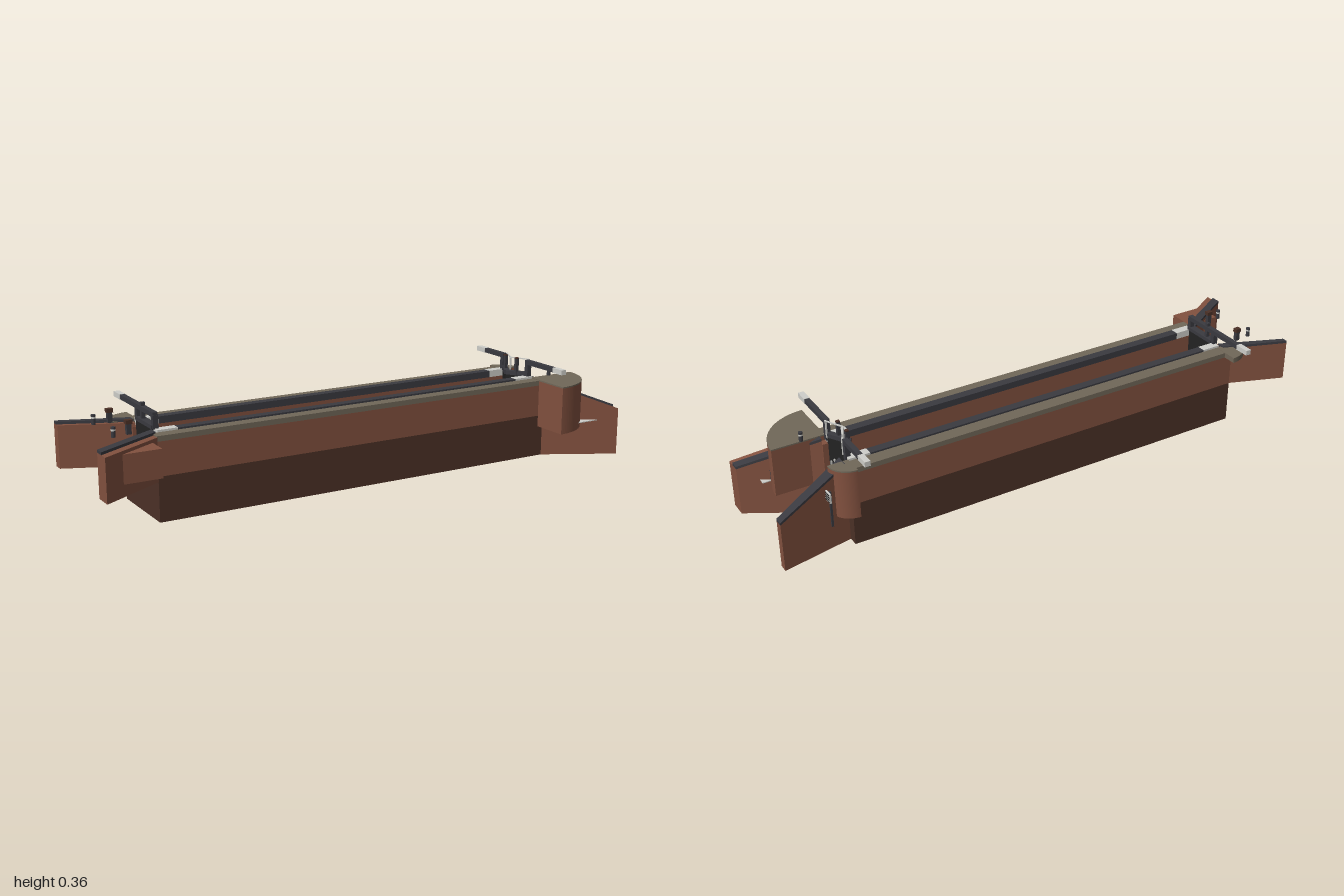
import * as THREE from 'three';

const mat = (name, color) => Object.assign(new THREE.MeshStandardMaterial({ color }), { name });

export function createModel() {
  const brick = mat('brick', 0x82513f);
  const footing = mat('dark brick footing', 0x4c3127);
  const stone = mat('coping stone', 0x716859);
  const iron = mat('dark iron', 0x3a3a40);
  const black = mat('black timber', 0x232323);
  const white = mat('white paint', 0xcfcfca);

  const root = new THREE.Group();
  const add = (name, geometry, material, parent = root) => {
    const mesh = new THREE.Mesh(geometry, material);
    mesh.name = name;
    parent.add(mesh);
    return mesh;
  };
  const group = (name) => {
    const g = new THREE.Group();
    g.name = name;
    root.add(g);
    return g;
  };
  // Box given by its limits on each axis
  const box = (name, material, [x0, x1], [y0, y1], [z0, z1], parent) =>
    add(name, new THREE.BoxGeometry(x1 - x0, y1 - y0, z1 - z0)
      .translate((x0 + x1) / 2, (y0 + y1) / 2, (z0 + z1) / 2), material, parent);
  // Six-sided block whose two x ends have their own z and y limits
  const taper = (name, material, a, b, parent) => {
    const g = new THREE.BoxGeometry(1, 1, 1);
    const p = g.attributes.position;
    for (let i = 0; i < p.count; i++) {
      const e = p.getX(i) < 0 ? a : b;
      p.setXYZ(i, e.x, e.y[p.getY(i) < 0 ? 0 : 1], e.z[p.getZ(i) < 0 ? 0 : 1]);
    }
    g.computeVertexNormals();
    return add(name, g, material, parent);
  };
  // Upright board between two plan points
  const board = (name, material, [xa, za], [xb, zb], [y0, y1], thick, parent) => {
    const g = new THREE.BoxGeometry(Math.hypot(xb - xa, zb - za), y1 - y0, thick);
    g.rotateY(-Math.atan2(zb - za, xb - xa));
    g.translate((xa + xb) / 2, (y0 + y1) / 2, (za + zb) / 2);
    return add(name, g, material, parent);
  };
  // Quarter-round pier; start is the plan angle from +x towards +z
  const quarter = (name, material, x, z, r, start, [y0, y1], parent) => {
    const s = new THREE.Shape();
    s.moveTo(0, 0);
    s.absarc(0, 0, r, start, start + Math.PI / 2, false);
    s.lineTo(0, 0);
    const g = new THREE.ExtrudeGeometry(s, { depth: y1 - y0, bevelEnabled: false, curveSegments: 16 });
    g.rotateX(Math.PI / 2).translate(x, y1, z);
    return add(name, g, material, parent);
  };

  // Chamber walls with coping, inner edging and pale end blocks
  for (const [side, outer, joint, inner] of [['front', 0.13, 0.087, 0.055], ['back', -0.155, -0.106, -0.075]]) {
    const g = group(side + 'ChamberWall');
    const span = (a, b) => [Math.min(a, b), Math.max(a, b)];
    box('wallFooting', footing, [-0.78, 0.75], [0, 0.152], span(outer, inner), g);
    box('wallBrickwork', brick, [-0.78, 0.75], [0.152, 0.267], span(outer, inner), g);
    box('wallCoping', stone, [-0.78, 0.73], [0.267, 0.285], span(outer, joint), g);
    box('wallEdging', iron, [-0.69, 0.655], [0.267, 0.291], span(joint, inner), g);
    box('upperEndBlock', white, [-0.76, -0.69], [0.267, 0.292], span(joint, inner), g);
    box('lowerEndBlock', white, [0.655, 0.73], [0.267, 0.292], span(joint, inner), g);
  }
  box('upperSill', footing, [-0.78, -0.71], [0, 0.15], [-0.075, 0.055]);

  // Wing walls, each with a dark coping laid on the top
  const wing = (name, a, b, copeA, copeB) => {
    const g = group(name);
    taper('wingBrickwork', brick, a, b, g);
    const cap = (e, z) => ({ x: e.x, y: [e.y[1], e.y[1] + 0.009], z });
    taper('wingCoping', iron, cap(a, copeA), cap(b, copeB), g);
  };
  wing('frontLowerWing',
    { x: 0.75, y: [0, 0.278], z: [0.06, 0.13] }, { x: 1, y: [0, 0.175], z: [0.205, 0.265] },
    [0.06, 0.095], [0.205, 0.236]);
  wing('backLowerWing',
    { x: 0.75, y: [0, 0.28], z: [-0.12, -0.075] }, { x: 1, y: [0, 0.173], z: [-0.17, -0.14] },
    [-0.12, -0.075], [-0.17, -0.14]);
  wing('frontUpperWing',
    { x: -1, y: [0.135, 0.281], z: [0.195, 0.262] }, { x: -0.77, y: [0.135, 0.281], z: [0.06, 0.125] },
    [0.195, 0.23], [0.06, 0.095]);
  wing('backUpperWing',
    { x: -1, y: [0.135, 0.281], z: [-0.205, -0.17] }, { x: -0.77, y: [0.135, 0.281], z: [-0.12, -0.075] },
    [-0.205, -0.185], [-0.12, -0.09]);
  box('culvertBlock', brick, [-0.93, -0.8], [0.175, 0.27], [0.12, 0.22]);

  // Quarter-round piers and the beam-walk slab
  quarter('frontPier', brick, 0.73, 0.08, 0.187, 0, [0.112, 0.283]);
  quarter('frontPierCap', stone, 0.73, 0.08, 0.187, 0, [0.283, 0.288]);
  quarter('backPier', brick, 0.73, -0.1, 0.072, -Math.PI / 2, [0.11, 0.283]);
  quarter('backPierCap', stone, 0.73, -0.1, 0.072, -Math.PI / 2, [0.283, 0.288]);
  quarter('upperBeamSlab', stone, -0.75, -0.11, 0.095, Math.PI, [0.267, 0.286]);

  // Mitred lower gates with a footboard, rails and paddle posts
  const lower = group('lowerGates');
  const tip = [0.685, -0.007];
  for (const [end, s, postZ] of [[[0.725, 0.06], 1, 0.028], [[0.725, -0.075], -1, -0.039]]) {
    board('gateLeaf', black, tip, end, [0.013, 0.29], 0.014, lower);
    board('gateTopRail', iron, tip, end, [0.29, 0.305], 0.02, lower);
    board('handrail', white, [0.7, -0.007], [0.735, end[1]], [0.35, 0.354], 0.004, lower);
    box('handrailPost', white, [0.73, 0.735], [0.29, 0.352], [end[1] - s * 0.005 - 0.0025, end[1] - s * 0.005 + 0.0025], lower);
    box('paddlePost', iron, [0.696, 0.708], [0.29, 0.353], [postZ - 0.006, postZ + 0.006], lower);
    box('paddlePostTop', footing, [0.696, 0.708], [0.353, 0.357], [postZ - 0.006, postZ + 0.006], lower);
    const hinge = end[1] + s * 0.008;
    box('hingePost', iron, [0.716, 0.734], [0.275, 0.345], [hinge - 0.008, hinge + 0.008], lower);
    const zs = s > 0 ? [[0.06, 0.222], [0.222, 0.273]] : [[-0.19, -0.075], [-0.24, -0.19]];
    box('balanceBeam', iron, [0.716, 0.734], [0.336, 0.352], zs[0], lower);
    box('balanceBeamTip', white, [0.715, 0.735], [0.335, 0.353], zs[1], lower);
  }
  box('middleRailPost', white, [0.698, 0.703], [0.29, 0.352], [-0.0095, -0.0045], lower);

  // Water leaking through the gates and the pier outlet
  const leak = group('gateLeaks');
  taper('leakPool', white, { x: 0.725, y: [0.13, 0.133], z: [-0.07, 0.06] },
    { x: 0.79, y: [0.13, 0.133], z: [-0.055, 0.06] }, leak);
  for (const [z, top] of [[0.036, 0.21], [0.006, 0.233], [-0.028, 0.214], [-0.056, 0.241]])
    box('leakJet', white, [0.73, 0.735], [0.13, top], [z - 0.0025, z + 0.0025], leak);
  box('outletPool', white, [0.84, 0.935], [0.13, 0.133], [0.145, 0.228], leak);
  box('outletShutter', iron, [0.895, 0.905], [0.133, 0.17], [0.146, 0.152], leak);

  // Single upper gate and its beam
  const upper = group('upperGate');
  box('gateLeaf', black, [-0.768, -0.748], [0.15, 0.29], [-0.075, 0.055], upper);
  box('gateTopRail', iron, [-0.77, -0.744], [0.29, 0.303], [-0.075, 0.06], upper);
  box('balanceBeam', iron, [-0.766, -0.748], [0.329, 0.345], [-0.217, 0.065], upper);
  box('balanceBeamTip', white, [-0.767, -0.747], [0.328, 0.346], [-0.272, -0.217], upper);
  box('hingePost', iron, [-0.766, -0.748], [0.29, 0.335], [-0.088, -0.07], upper);
  box('paddlePost', iron, [-0.764, -0.75], [0.29, 0.357], [-0.045, -0.033], upper);
  box('closingPost', iron, [-0.766, -0.748], [0.29, 0.335], [0.05, 0.066], upper);

  // Bollards with a pale band, and paddle pedestals
  for (const [x, z] of [[-0.905, 0.082], [-0.905, -0.095], [0.812, 0.082]]) {
    const g = group('bollard');
    const ring = (name, m, r, y0, y1) =>
      add(name, new THREE.CylinderGeometry(r, r, y1 - y0, 10).translate(x, (y0 + y1) / 2, z), m, g);
    ring('bollardPost', iron, 0.007, 0.288, 0.309);
    ring('bollardBand', white, 0.0072, 0.309, 0.315);
    ring('bollardHead', iron, 0.0075, 0.315, 0.322);
  }
  for (const z of [0.07, -0.097]) {
    box('pedestalBase', iron, [-0.858, -0.842], [0.288, 0.322], [z - 0.007, z + 0.007]);
    box('pedestalHead', footing, [-0.861, -0.839], [0.322, 0.335], [z - 0.009, z + 0.009]);
  }

  // Depth gauge: pole and striped board
  const gauge = group('depthGauge');
  box('gaugePole', iron, [0.834, 0.841], [0.125, 0.255], [-0.195, -0.189], gauge);
  box('gaugeBoard', white, [0.841, 0.847], [0.222, 0.255], [-0.21, -0.178], gauge);
  for (let i = 0; i < 4; i++)
    box('gaugeStripe', black, [0.847, 0.848], [0.225 + i * 0.008, 0.229 + i * 0.008], [-0.208, -0.18], gauge);

  return root;
}
